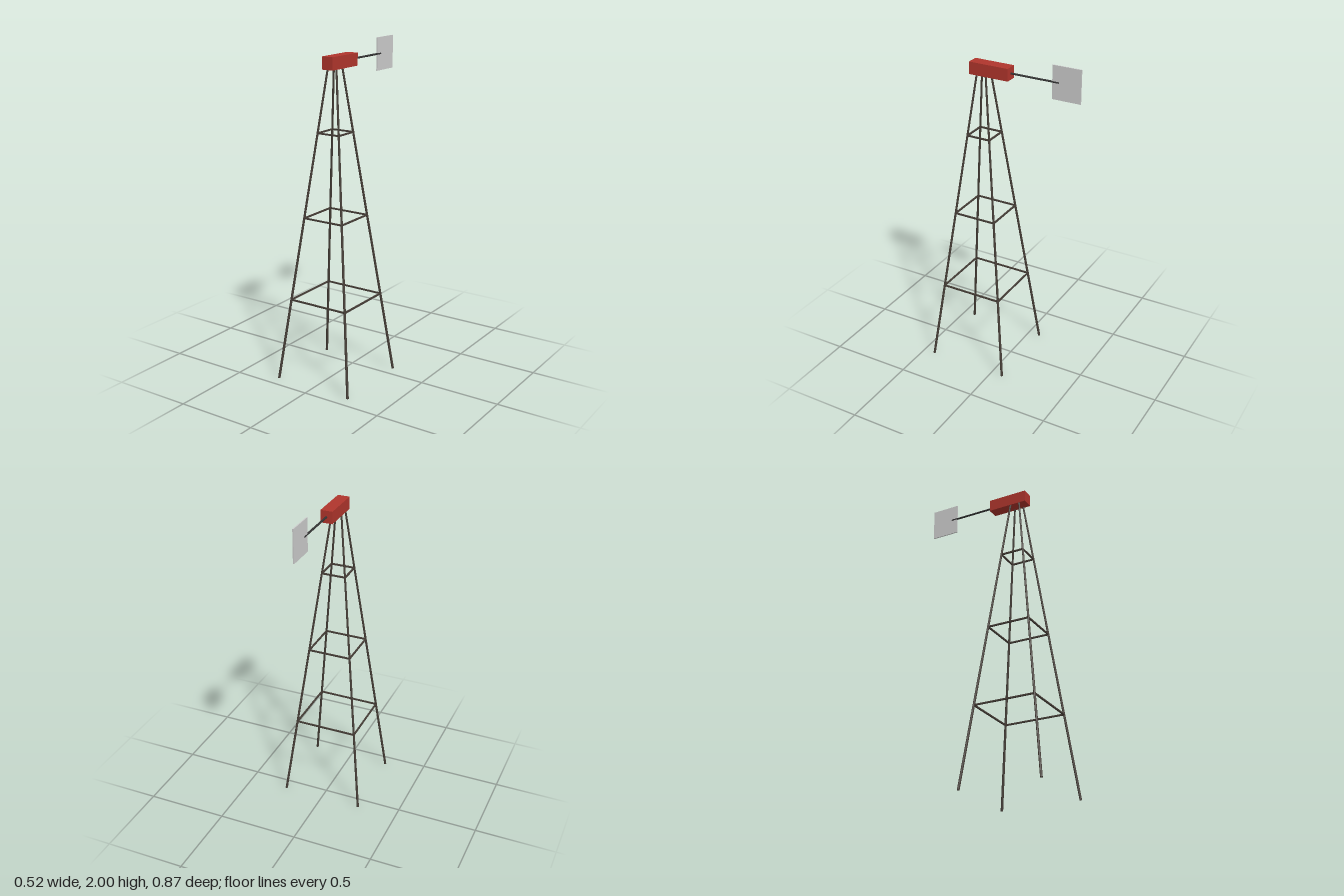
import * as THREE from 'three';

const material = (name, color) => {
  const m = new THREE.MeshStandardMaterial({ color });
  m.name = name;
  return m;
};

export function createModel() {
  const steel = material('dark brown steel', 0x463e37);
  const iron = material('dark iron', 0x333333);
  const red = material('red paint', 0xb0352c);
  const grey = material('light grey sheet', 0xcccccc);

  const model = new THREE.Group();
  model.name = 'windPumpTower';
  const centreZ = 0.175; // tower axis

  const add = (parent, name, geometry, mat, x, y, z) => {
    const mesh = new THREE.Mesh(geometry, mat);
    mesh.name = name;
    mesh.position.set(x, y, z);
    parent.add(mesh);
    return mesh;
  };
  const box = (parent, name, mat, w, h, d, x, y, z) =>
    add(parent, name, new THREE.BoxGeometry(w, h, d), mat, x, y, z);

  const tower = new THREE.Group();
  tower.name = 'tower';
  tower.position.z = centreZ;
  model.add(tower);

  // Half width of the tapering tower at a given height
  const spread = (y) => 0.25 - 0.118 * y;
  const topY = 1.88;

  // Four leaning legs
  const up = new THREE.Vector3(0, 1, 0);
  for (const sx of [-1, 1]) {
    for (const sz of [-1, 1]) {
      const foot = new THREE.Vector3(sx * spread(0), 0, sz * spread(0));
      const head = new THREE.Vector3(sx * spread(topY), topY, sz * spread(topY));
      const axis = head.clone().sub(foot);
      const middle = foot.clone().add(head).multiplyScalar(0.5);
      const geometry = new THREE.CylinderGeometry(0.006, 0.0078, axis.length(), 8).toNonIndexed();
      geometry.computeVertexNormals();
      const leg = add(tower, 'leg', geometry, steel, middle.x, middle.y, middle.z);
      leg.quaternion.setFromUnitVectors(up, axis.normalize());
    }
  }

  // Three square rings of cross braces
  const bar = 0.009;
  for (const y of [0.5, 1.0, 1.5]) {
    const s = spread(y);
    for (const side of [-1, 1]) {
      box(tower, 'crossBrace', steel, 2 * s + bar, bar, bar, 0, y, side * s);
      box(tower, 'sideBrace', steel, bar, bar, 2 * s - bar, side * s, y, 0);
    }
  }

  // Gearbox head on top of the tower
  box(model, 'gearHousing', red, 0.072, 0.074, 0.25, 0, 1.902, 0.125);

  // Tail boom, running a little way along the vane
  const boom = add(model, 'tailBoom', new THREE.CylinderGeometry(0.006, 0.006, 0.31, 8), iron, 0, 1.902, -0.145);
  boom.rotation.x = Math.PI / 2;

  // Square tail vane
  box(model, 'tailVane', grey, 0.007, 0.198, 0.175, 0, 1.901, -0.3475);

  return model;
}
